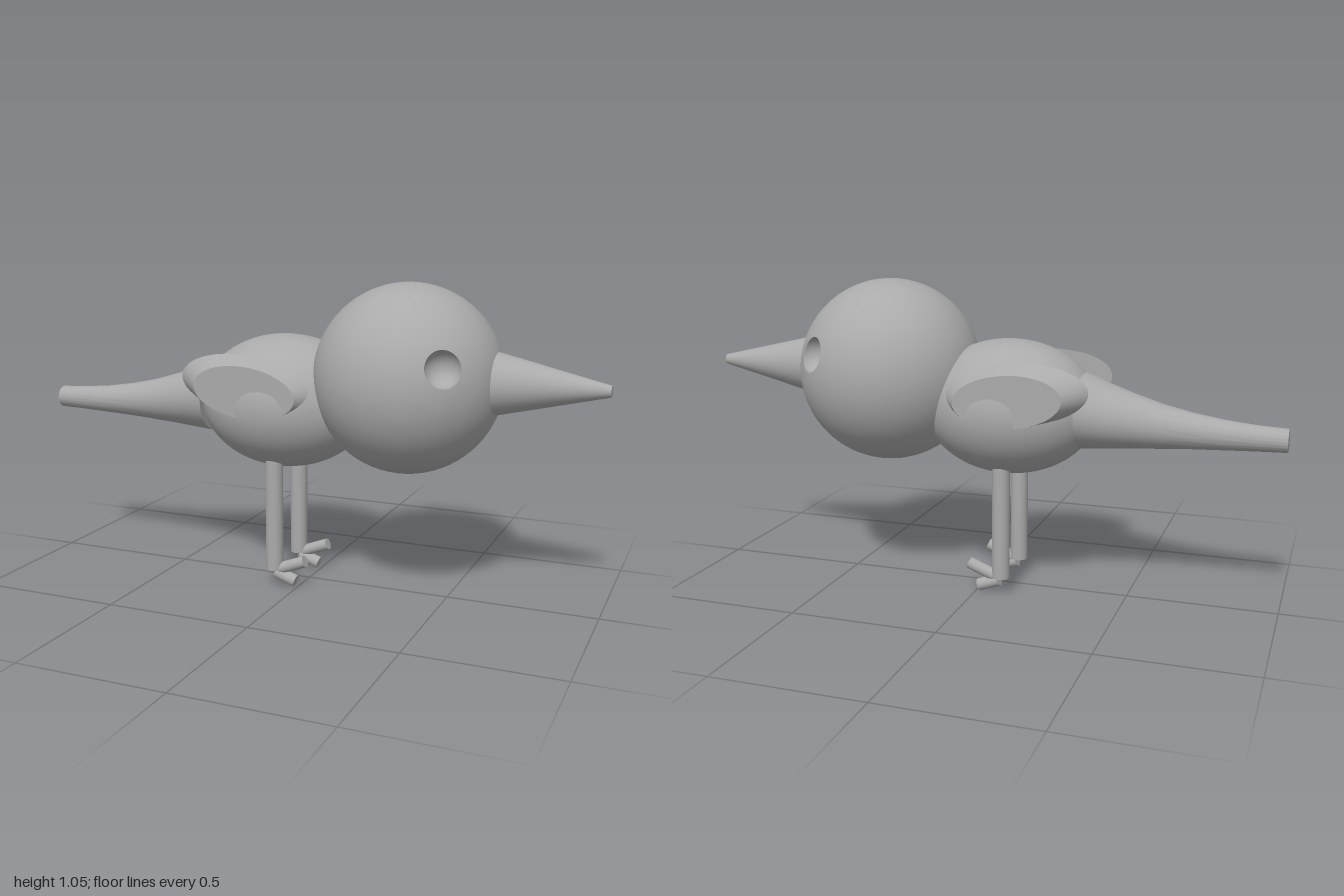
import * as THREE from 'three';
import { toCreasedNormals } from 'three/addons/utils/BufferGeometryUtils.js';

const V = (x, y, z) => new THREE.Vector3(x, y, z);

// Capped loft through elliptical rings { c, a, b }; rings advance along a x b
function loft(rings, n = 48) {
  const pos = [], idx = [];
  for (const { c, a, b } of rings) {
    for (let i = 0; i < n; i++) {
      const t = (i / n) * Math.PI * 2;
      pos.push(...c.clone().addScaledVector(a, Math.cos(t)).addScaledVector(b, Math.sin(t)).toArray());
    }
  }
  const last = rings.length - 1;
  pos.push(...rings[0].c.toArray(), ...rings[last].c.toArray());
  const c0 = rings.length * n, c1 = c0 + 1;
  for (let i = 0; i < n; i++) {
    const j = (i + 1) % n;
    for (let k = 0; k < last; k++) {
      const p = k * n;
      idx.push(p + i, p + j, p + n + j, p + i, p + n + j, p + n + i);
    }
    idx.push(c0, j, i, c1, last * n + i, last * n + j);
  }
  const g = new THREE.BufferGeometry();
  g.setAttribute('position', new THREE.Float32BufferAttribute(pos, 3));
  g.setIndex(idx);
  return toCreasedNormals(g, 0.5);
}

// Polar grid around an axis; fn(s, w) gives { p, n } for s in 0..1 and outward direction w
function polar(axis, rows, cols, fn) {
  const u = V(0, 1, 0).cross(axis).normalize(), v = axis.clone().cross(u);
  const pos = [], nor = [], idx = [];
  for (let r = 0; r <= rows; r++) {
    for (let c = 0; c <= cols; c++) {
      const t = (c / cols) * Math.PI * 2;
      const w = u.clone().multiplyScalar(Math.cos(t)).addScaledVector(v, Math.sin(t));
      const { p, n } = fn(r / rows, w);
      pos.push(...p.toArray());
      nor.push(...n.toArray());
      if (r < rows && c < cols) {
        const a = r * (cols + 1) + c, d = a + cols + 1;
        idx.push(a, d, d + 1, a, d + 1, a + 1);
      }
    }
  }
  const g = new THREE.BufferGeometry();
  g.setAttribute('position', new THREE.Float32BufferAttribute(pos, 3));
  g.setAttribute('normal', new THREE.Float32BufferAttribute(nor, 3));
  g.setIndex(idx);
  return g;
}

export function createModel() {
  const grey = new THREE.MeshStandardMaterial({ color: 0xaaaaaa });
  grey.name = 'plain grey';
  const bird = new THREE.Group();
  bird.name = 'bird';

  const add = (name, geometry, parent = bird) => {
    const m = new THREE.Mesh(geometry, grey);
    m.name = name;
    parent.add(m);
    return m;
  };
  // Cylinder between two points
  const rod = (name, from, to, r0, r1, parent) => {
    const d = to.clone().sub(from);
    const m = add(name, new THREE.CylinderGeometry(r1, r0, d.length(), 40), parent);
    m.position.copy(from).addScaledVector(d, 0.5);
    m.quaternion.setFromUnitVectors(V(0, 1, 0), d.normalize());
    return m;
  };

  // Body
  const body = add('body', new THREE.SphereGeometry(1, 64, 40));
  body.scale.set(0.3, 0.227, 0.24);
  body.position.set(-0.085, 0.631, 0);

  // Head: two half spheres, each with a hollow eye socket
  const head = new THREE.Group();
  head.name = 'head';
  head.position.set(0.35, 0.734, 0);
  bird.add(head);
  const R = 0.3125, r = 0.06;
  const rim = 2 * Math.asin(r / (2 * R));
  for (const side of [1, -1]) {
    const label = side > 0 ? 'front' : 'back';
    const e = V(0.186, 0.075, 0.238 * side).normalize();
    add(label + 'HeadHalf', polar(e, 32, 72, (s, w) => {
      const edge = Math.atan2(e.z * side, -w.z * side);
      const t = rim + (edge - rim) * s;
      const n = e.clone().multiplyScalar(Math.cos(t)).addScaledVector(w, Math.sin(t));
      return { p: n.clone().multiplyScalar(R), n };
    }), head);
    add(label + 'EyeSocket', polar(e, 12, 72, (s, w) => {
      const t = s * (Math.PI - rim) / 2;
      const n = e.clone().multiplyScalar(Math.cos(t)).addScaledVector(w, -Math.sin(t));
      return { p: e.clone().multiplyScalar(R).addScaledVector(n, -r), n };
    }), head);
  }

  // Beak
  rod('beak', V(0.645, 0.735, 0), V(1, 0.735, 0), 0.101, 0.018);

  // Tail: x, centre y, half height, half width
  const tail = [
    [-1, 0.578, 0.038, 0.038], [-0.9, 0.579, 0.042, 0.04], [-0.8, 0.582, 0.049, 0.047],
    [-0.7, 0.588, 0.059, 0.057], [-0.6, 0.596, 0.073, 0.073], [-0.5, 0.608, 0.091, 0.098],
    [-0.42, 0.619, 0.108, 0.126], [-0.34, 0.632, 0.126, 0.155],
  ];
  add('tail', loft(tail.map(([x, y, h, w]) => ({ c: V(x, y, 0), a: V(0, h, 0), b: V(0, 0, w) }))));

  // Wings, legs and toes on both sides
  const tilt = -0.09;
  const ring = (x, y, z, w, h) => ({
    c: V(x, y, z),
    a: V(w * Math.cos(tilt), w * Math.sin(tilt), 0),
    b: V(-h * Math.sin(tilt), h * Math.cos(tilt), 0),
  });
  for (const side of [1, -1]) {
    const label = side > 0 ? 'front' : 'back';
    const rings = [ring(-0.15, 0.702, 0.173 * side, 0.245, 0.102), ring(-0.14, 0.688, 0.23 * side, 0.182, 0.086)];
    add(label + 'Wing', loft(side > 0 ? rings : rings.reverse()));

    const z = 0.105 * side;
    const leg = new THREE.Group();
    leg.name = label + 'Leg';
    bird.add(leg);
    rod('shank', V(-0.086, 0.055, z), V(-0.086, 0.5, z), 0.03, 0.03, leg);
    rod('upperToe', V(-0.065, 0.059, z), V(0.027, 0.095, z), 0.02, 0.02, leg);
    rod('lowerToe', V(-0.08, 0.045, z), V(-0.008, 0.02, z), 0.021, 0.021, leg);
  }
  return bird;
}
